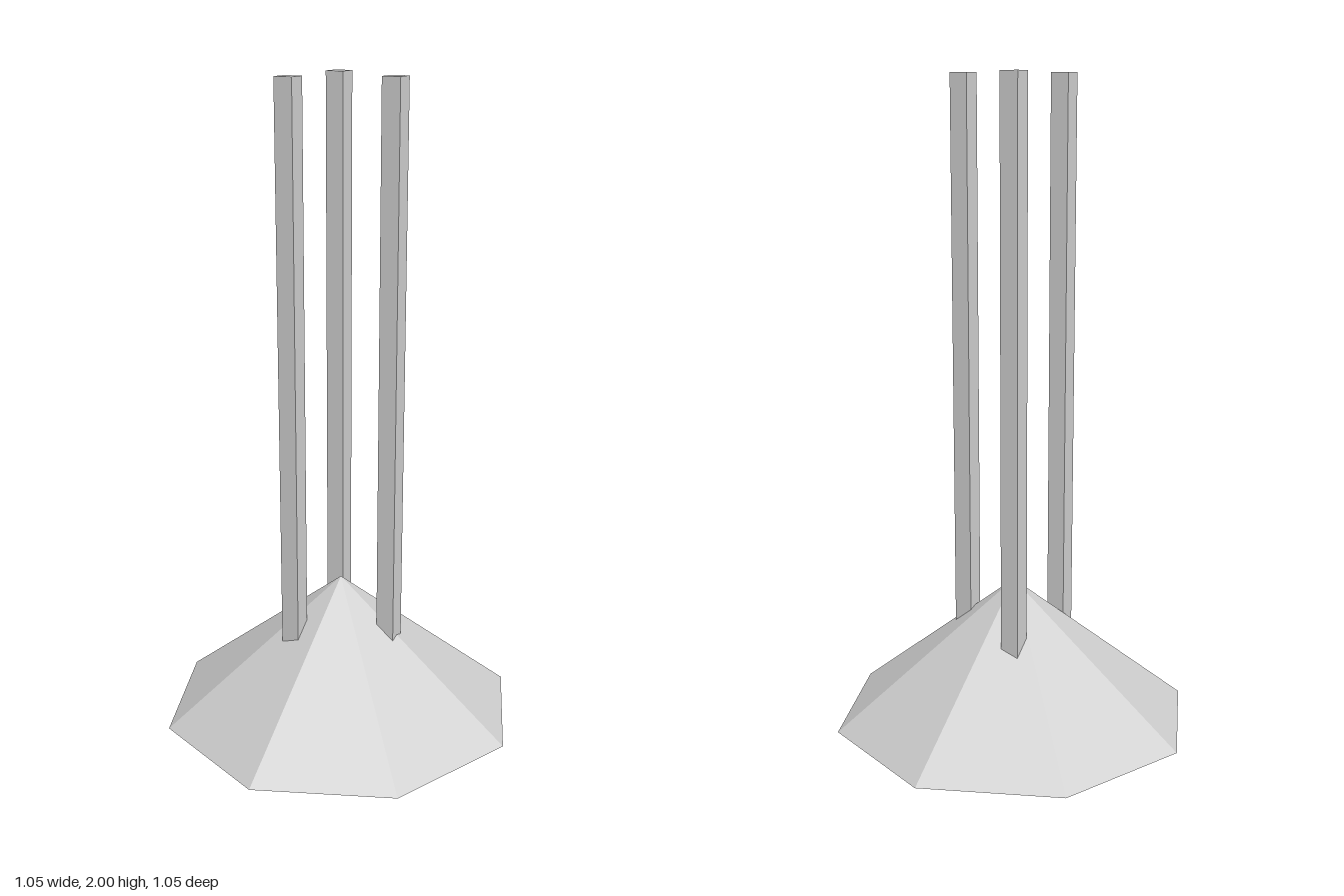
import * as THREE from 'three';

export function createModel() {
  const model = new THREE.Group();
  const grey = new THREE.MeshStandardMaterial({ color: 0xcccccc, flatShading: true });
  grey.name = 'light grey';

  // Octagonal base: a steep cone above a shallow inverted cone
  const sides = 8, radius = 0.527, rimY = 0.155, peakY = 0.575;
  const upper = new THREE.Mesh(new THREE.ConeGeometry(radius, peakY - rimY, sides, 1, true), grey);
  upper.name = 'upperCone';
  upper.position.y = (rimY + peakY) / 2;
  const lower = new THREE.Mesh(new THREE.CylinderGeometry(radius, 0, rimY, sides, 1, true), grey);
  lower.name = 'lowerCone';
  lower.position.y = rimY / 2;
  model.add(upper, lower);

  // Three square posts around the peak, sunk into the base
  const postWidth = 0.053, postBottom = 0.3, postTop = 2;
  const postGeometry = new THREE.BoxGeometry(postWidth, postTop - postBottom, postWidth);
  for (let i = 0; i < 3; i++) {
    const angle = (i * Math.PI * 2) / 3;
    const post = new THREE.Mesh(postGeometry, grey);
    post.name = `post${i + 1}`;
    post.position.set(0.158 * Math.cos(angle), (postBottom + postTop) / 2, 0.158 * Math.sin(angle));
    model.add(post);
  }
  return model;
}
